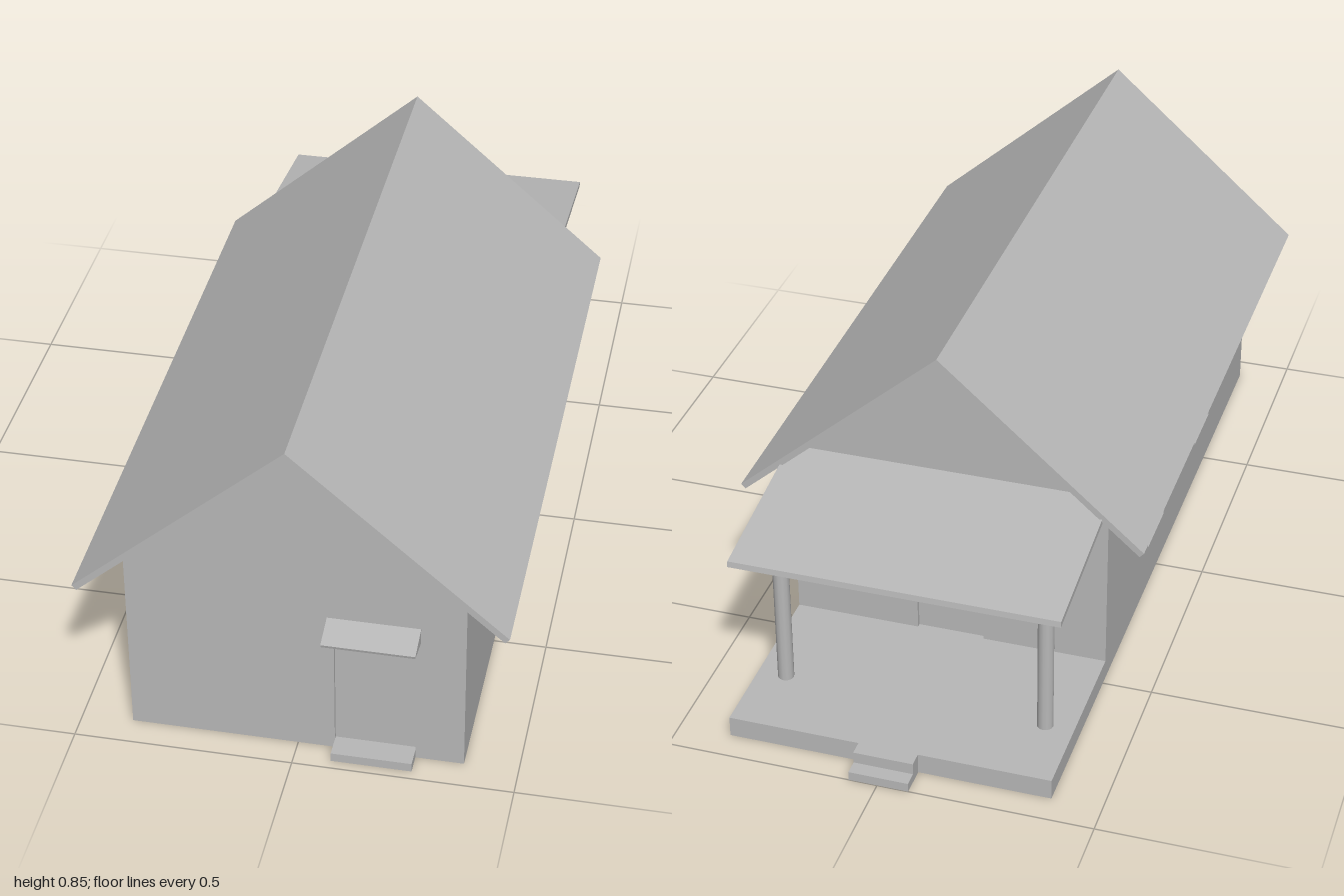
import * as THREE from 'three';

export function createModel() {
  const model = new THREE.Group();
  model.name = 'house';
  const house = new THREE.Group();
  house.name = 'building';
  house.position.x = -0.003;
  model.add(house);
  const gray = new THREE.MeshStandardMaterial({ color: 0xb8b8b8 });
  gray.name = 'plain gray';

  const HALF = 0.38, FRONT = 0.93, BACK = -0.48, PORCH = -0.93, RECESS = 0.01;
  const SLOPE = 0.875, RIDGE = 0.825;

  const add = (name, geometry) => {
    const mesh = new THREE.Mesh(geometry, gray);
    mesh.name = name;
    house.add(mesh);
    return mesh;
  };
  const box = (name, x0, x1, y0, y1, z0, z1) =>
    add(name, new THREE.BoxGeometry(x1 - x0, y1 - y0, z1 - z0))
      .position.set((x0 + x1) / 2, (y0 + y1) / 2, (z0 + z1) / 2);
  const toVectors = (points) => points.map(([a, b]) => new THREE.Vector2(a, b));
  const rect = (a0, a1, b0, b1) => [[a0, b0], [a1, b0], [a1, b1], [a0, b1]];
  const extrude = (points, depth, holes) => {
    const shape = new THREE.Shape(toVectors(points));
    holes.forEach((h) => shape.holes.push(new THREE.Path(toVectors(h))));
    return new THREE.ExtrudeGeometry(shape, { depth, bevelEnabled: false });
  };
  // Profile in (x, y), running along z
  const alongZ = (name, points, z0, z1, holes = []) => {
    add(name, extrude(points, z1 - z0, holes)).position.z = z0;
  };
  // Profile in (z, y), running along x
  const alongX = (name, points, x0, x1, holes = []) => {
    const mesh = add(name, extrude(points, x1 - x0, holes));
    mesh.rotation.y = -Math.PI / 2;
    mesh.position.x = x1;
  };

  // Gabled body: a core with thin outer walls that leave recessed openings
  const gable = (half) => {
    const eave = RIDGE - half * SLOPE;
    return [[-half, 0], [half, 0], [half, eave], [0, RIDGE], [-half, eave]];
  };
  alongZ('core', gable(HALF - RECESS), BACK + RECESS, FRONT - RECESS);
  alongZ('frontWall', gable(HALF), FRONT - RECESS, FRONT, [rect(0.087, 0.27, 0.022, 0.345)]);
  alongZ('backWall', gable(HALF), BACK, BACK + RECESS, [rect(-0.082, 0.08, 0.05, 0.35)]);

  const windows = [[-0.09, 0.065], [0.385, 0.54]].map(([a, b]) => rect(a, b, 0.11, 0.35));
  const sideWall = rect(BACK + RECESS, FRONT - RECESS, 0, RIDGE - HALF * SLOPE);
  alongX('leftWall', sideWall, HALF - RECESS, HALF, windows);
  alongX('rightWall', sideWall, -HALF, -HALF + RECESS, windows);

  // Main roof with square-cut eaves
  const top = RIDGE + 0.02;
  const under = (x) => RIDGE - x * SLOPE;
  alongZ('roof', [
    [0, top], [-0.481, top - 0.481 * SLOPE], [-0.471, under(0.471)],
    [0, RIDGE], [0.471, under(0.471)], [0.481, top - 0.481 * SLOPE],
  ], -0.55, 0.99);

  // Back porch: floor, steps, lean-to roof and posts
  box('porchFloor', -HALF, HALF, 0, 0.05, PORCH, BACK);
  box('upperBackStep', -0.07, 0.07, 0, 0.05, -0.965, PORCH);
  box('lowerBackStep', -0.07, 0.07, 0, 0.022, -1, -0.965);
  alongX('porchRoof', [
    [BACK, 0.507], [-0.878, 0.448], [-0.88, 0.434], [BACK, 0.493],
  ], -0.383, 0.383);
  for (const side of [-1, 1]) {
    add('porchPost', new THREE.CylinderGeometry(0.019, 0.019, 0.405, 12))
      .position.set(side * 0.312, 0.2525, -0.747);
  }

  // Front entrance: step, sloped canopy and triangular brackets
  box('frontStep', 0.087, 0.27, 0, 0.022, FRONT, 0.977);
  alongX('doorCanopy', [
    [FRONT, 0.363], [0.998, 0.345], [1, 0.352], [FRONT, 0.372],
  ], 0.072, 0.28);
  for (const x of [0.072, 0.273]) {
    alongX('canopyBracket', [[FRONT, 0.334], [0.995, 0.346], [FRONT, 0.365]], x, x + 0.007);
  }
  return model;
}
